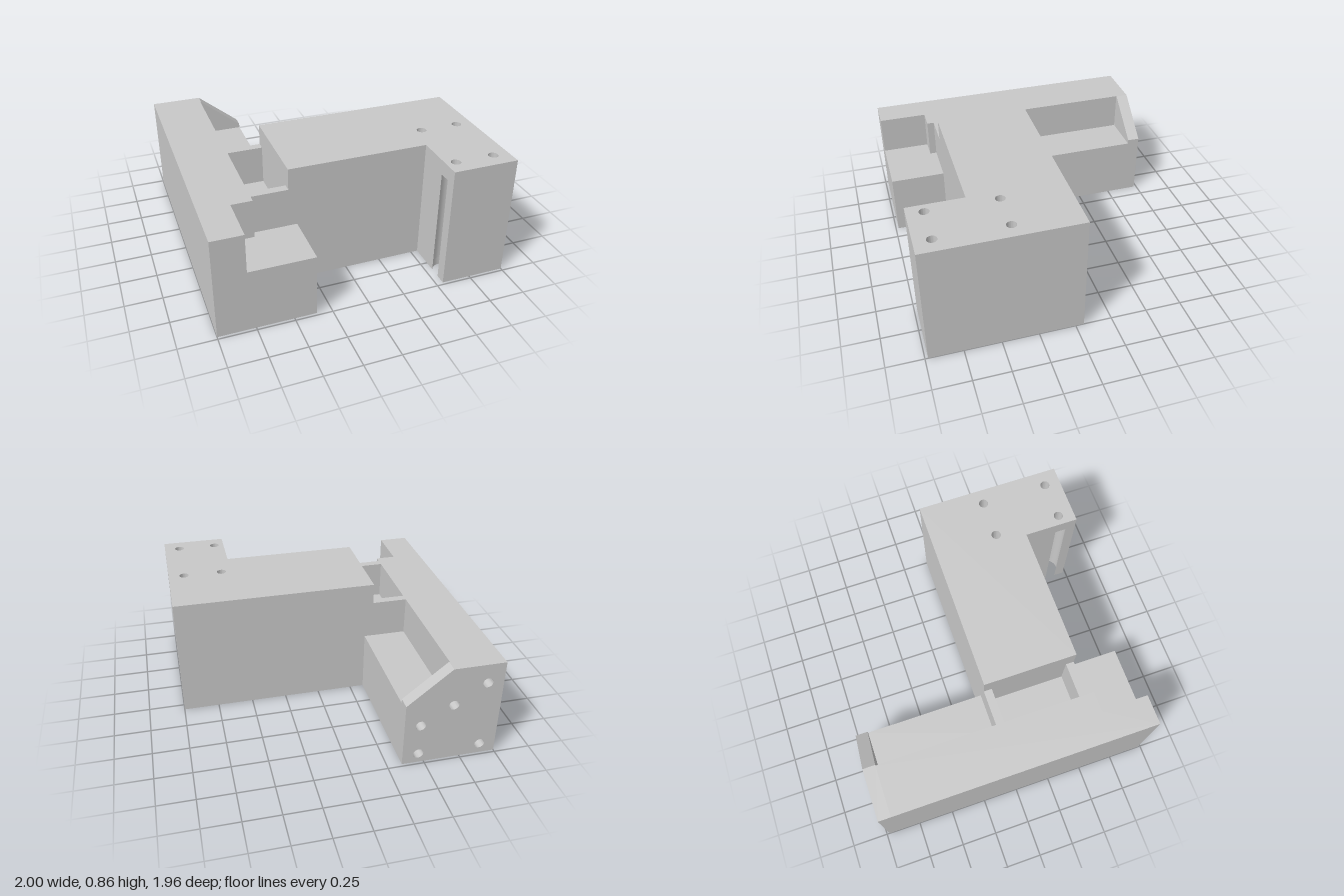
import * as THREE from 'three';
import { toCreasedNormals } from 'three/addons/utils/BufferGeometryUtils.js';

export function createModel() {
  const model = new THREE.Group();
  const grey = new THREE.MeshStandardMaterial({ color: 0xc8c8c8 });
  grey.name = 'grey plastic';

  const circle = (a, b, r) => new THREE.Path().absarc(a, b, r, 0, Math.PI * 2, true);
  const rect = (x0, x1, z0, z1) => [[x0, z0], [x1, z0], [x1, z1], [x0, z1]];

  // Counter-clockwise outline, so that hole walls face into the holes
  function shapeOf(points) {
    const corners = points.map(([a, b]) => new THREE.Vector2(a, b));
    if (THREE.ShapeUtils.isClockWise(corners)) corners.reverse();
    return new THREE.Shape(corners);
  }

  function addExtrusion(name, shape, depth, place) {
    const geometry = new THREE.ExtrudeGeometry(shape, { depth, bevelEnabled: false, curveSegments: 16 });
    place(geometry);
    const mesh = new THREE.Mesh(toCreasedNormals(geometry, 0.5), grey);
    mesh.name = name;
    model.add(mesh);
  }

  // Plan outline (x, z) raised from y0 to y1; round holes are [x, z, r], cells are outlines
  function slab(name, outline, y0, y1, rounds = [], cells = []) {
    const flip = (points) => shapeOf(points.map(([x, z]) => [x, -z]));
    const shape = flip(outline);
    for (const [x, z, r] of rounds) shape.holes.push(circle(x, -z, r));
    for (const cell of cells) shape.holes.push(flip(cell));
    addExtrusion(name, shape, y1 - y0, (g) => g.rotateX(-Math.PI / 2).translate(0, y0, 0));
  }

  // Side bar, hollowed from below into five cells
  const cells = [rect(-0.95, -0.41, 0.6, 0.93)];
  for (const [x0, x1] of [[-0.95, -0.7], [-0.65, -0.41]]) {
    cells.push(rect(x0, x1, -0.87, -0.06), rect(x0, x1, 0, 0.54));
  }
  const bar = rect(-1, -0.35, -0.893, 0.98);
  slab('barBody', bar, 0, 0.39, [], cells);
  slab('barDeck', bar, 0.39, 0.44);

  // Round boss inside the front cell
  const boss = [];
  for (let i = 0; i < 40; i++) {
    const a = (i / 40) * Math.PI * 2;
    boss.push([-0.68 + 0.2 * Math.cos(a), 0.77 + 0.2 * Math.sin(a)]);
  }
  slab('screwBoss', boss, 0, 0.4, [[-0.68, 0.77, 0.045]]);

  // Tall wall along the bar, stepped back at the front
  slab('barWall', [[-1, -0.893], [-0.65, -0.893], [-0.65, 0.645], [-0.79, 0.645], [-0.79, 0.98], [-1, 0.98]], 0.44, 0.71);

  // Thin walls around the open pocket between bar and arm
  slab('pocketBackWall', rect(-0.65, -0.405, -0.057, 0), 0.44, 0.71);
  slab('pocketFrontWall', rect(-0.65, -0.405, 0.54, 0.597), 0.44, 0.71);

  // Back end plate with sloped gusset and screw holes
  const plate = shapeOf([[-1, 0], [-0.35, 0], [-0.35, 0.47], [-0.645, 0.71], [-1, 0.71]]);
  for (const [x, y] of [[-0.46, 0.3], [-0.46, 0.07], [-0.675, 0.43], [-0.89, 0.57], [-0.89, 0.075]]) {
    plate.holes.push(circle(x, y, 0.035));
  }
  addExtrusion('endPlate', plate, 0.087, (g) => g.translate(0, 0, -0.98));

  // Arm and front foot; one counterbore breaks through the foot's inner side
  const bore = 0.08;
  const notch = [];
  const half = Math.acos(-0.07 / bore);
  for (let i = 0; i <= 24; i++) {
    const a = half - (i / 24) * 2 * half;
    notch.push([0.62 + bore * Math.cos(a), 0.867 + bore * Math.sin(a)]);
  }
  const armStart = [[-0.405, -0.057], [1, -0.057], [1, 0.98], [0.55, 0.98]];
  const armEnd = [[0.55, 0.597], [-0.405, 0.597]];
  const notchedArm = [...armStart, ...notch, ...armEnd];
  const bolts = [[0.62, 0.393], [0.89, 0.393], [0.89, 0.867], [0.62, 0.867]];
  const bores = bolts.slice(0, 3).map(([x, z]) => [x, z, bore]);
  const feet = [[0.78, 0.09], [0.78, 0.62], [0.33, 0.09], [0.33, 0.45], [-0.12, 0.09], [-0.12, 0.45]]
    .map(([x, z]) => [x, z, 0.087]);
  slab('armBase', notchedArm, 0, 0.06, [...bores, ...feet]);
  slab('armBody', notchedArm, 0.06, 0.76, bores);
  slab('armTop', [...armStart, ...armEnd], 0.76, 0.857, bolts.map(([x, z]) => [x, z, 0.033]));

  return model;
}
